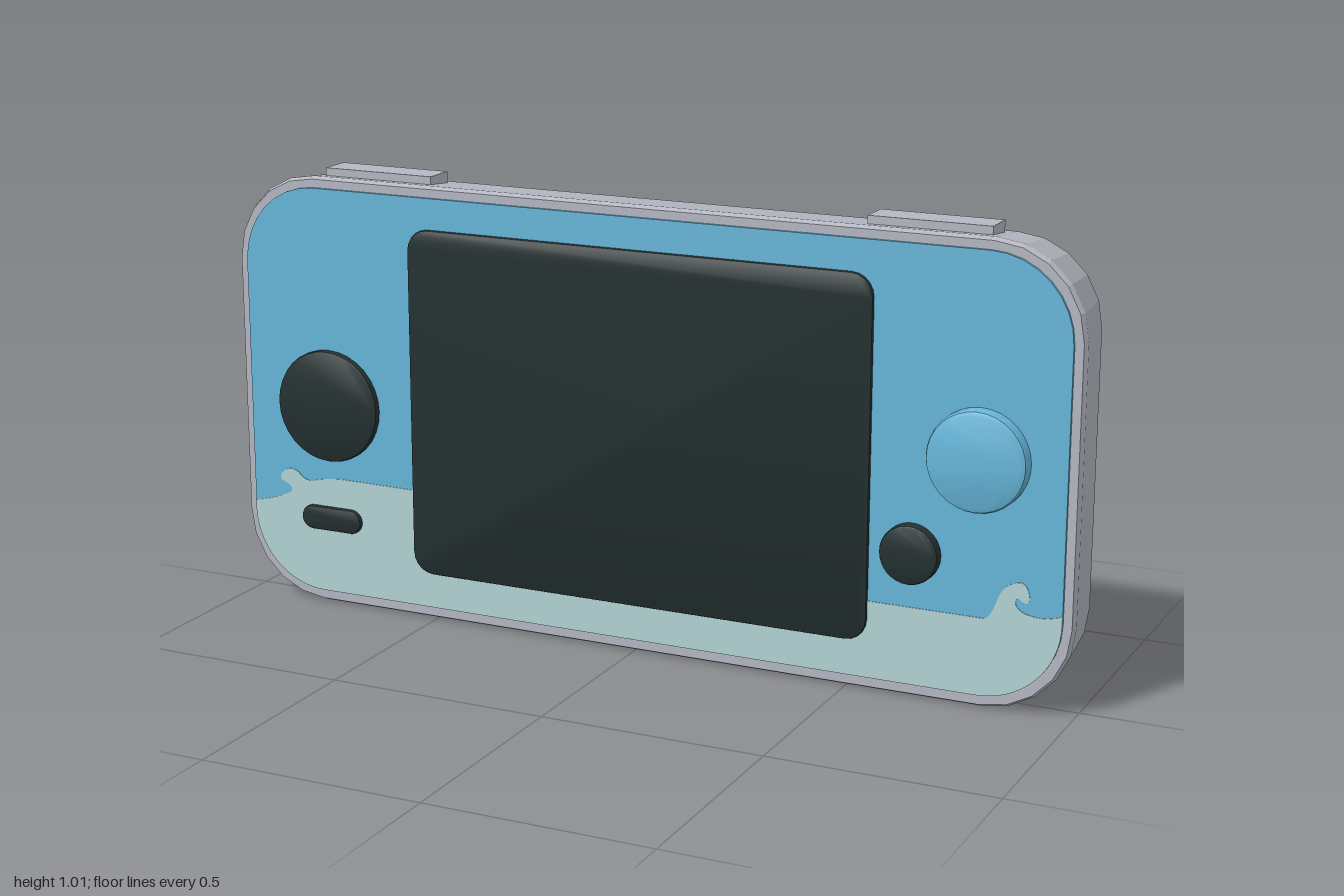
import * as THREE from 'three';
import { toCreasedNormals } from 'three/addons/utils/BufferGeometryUtils.js';

const material = (name, color) => Object.assign(new THREE.MeshStandardMaterial({ color }), { name });

// Rounded rectangle outline, anticlockwise from the right side
function outline(w, h, r, seg) {
  const pts = [];
  [[1, 1], [-1, 1], [-1, -1], [1, -1]].forEach(([sx, sy], q) => {
    for (let i = 0; i <= seg; i++) {
      const a = (q + i / seg) * Math.PI / 2;
      pts.push([sx * (w / 2 - r) + r * Math.cos(a), sy * (h / 2 - r) + r * Math.sin(a)]);
    }
  });
  return pts;
}

// Closed solid through rounded-rectangle rings; rings = [z, inset], back to front
function loft(w, h, r, seg, rings, crease) {
  const pos = [], index = [], n = 4 * (seg + 1);
  for (const [z, d] of rings) {
    for (const [x, y] of outline(w - 2 * d, h - 2 * d, r - d, seg)) pos.push(x, y, z);
  }
  for (let k = 0; k < rings.length - 1; k++) {
    for (let i = 0; i < n; i++) {
      const a = k * n + i, b = k * n + (i + 1) % n;
      index.push(a, b, b + n, a, b + n, a + n);
    }
  }
  const last = (rings.length - 1) * n;
  for (let i = 1; i < n - 1; i++) {
    index.push(0, i + 1, i);
    index.push(last, last + i, last + i + 1);
  }
  const g = new THREE.BufferGeometry();
  g.setAttribute('position', new THREE.Float32BufferAttribute(pos, 3));
  g.setIndex(index);
  return toCreasedNormals(g, crease);
}

export function createModel() {
  const group = new THREE.Group();
  const grey = material('shell grey', 0xb4b7c1);
  const blue = material('sky blue', 0x66b6da);
  const pale = material('pale wave', 0xb3d3d4);
  const dark = material('dark glass', 0x243031);

  const add = (name, geometry, mat, x = 0, y = 0, z = 0) => {
    const m = new THREE.Mesh(geometry, mat);
    m.name = name;
    m.position.set(x, y, z);
    group.add(m);
    return m;
  };
  // Raised part with a small bevelled front edge
  const raised = (name, mat, x, y, w, h, r, front, bevel, seg = 8) =>
    add(name, loft(w, h, r, seg, [[0.05, 0], [front - bevel, 0], [front - bevel * 0.3, bevel * 0.3], [front, bevel]], 0.5), mat, x, y);

  // Shell, tapering to the back, with a chamfered front rim
  add('shell', loft(2, 1, 0.2, 5,
    [[-0.095, 0.015], [0.046, 0], [0.058, 0.006]], 0.2), grey, 0, 0.5);

  // Shoulder buttons
  for (const s of [-1, 1]) {
    add(s > 0 ? 'leftShoulderButton' : 'rightShoulderButton',
      new THREE.BoxGeometry(0.27, 0.04, 0.076), grey, s * 0.65, 0.995, -0.017);
  }

  // Face plate
  add('facePlate', loft(1.95, 0.946, 0.18, 8, [[0.05, 0], [0.065, 0]], 0.5), blue, 0, 0.502);

  // Wave painted over the lower face plate
  const wave = new THREE.Shape();
  wave.moveTo(-0.975, 0.225);
  wave.lineTo(-0.975, 0.209);
  wave.absarc(-0.795, 0.209, 0.18, Math.PI, Math.PI * 1.5, false);
  wave.absarc(0.795, 0.209, 0.18, Math.PI * 1.5, Math.PI * 2, false);
  wave.lineTo(0.975, 0.228);
  wave.quadraticCurveTo(0.93, 0.21, 0.89, 0.225);
  wave.quadraticCurveTo(0.865, 0.24, 0.88, 0.255);
  wave.quadraticCurveTo(0.9, 0.235, 0.905, 0.255);
  wave.quadraticCurveTo(0.9, 0.3, 0.87, 0.285);
  wave.quadraticCurveTo(0.845, 0.275, 0.835, 0.245);
  wave.quadraticCurveTo(0.825, 0.21, 0.81, 0.2);
  wave.lineTo(0.3, 0.2);
  wave.lineTo(-0.3, 0.3);
  wave.lineTo(-0.74, 0.303);
  wave.quadraticCurveTo(-0.79, 0.3, -0.82, 0.29);
  wave.quadraticCurveTo(-0.84, 0.29, -0.85, 0.302);
  wave.quadraticCurveTo(-0.875, 0.325, -0.9, 0.3);
  wave.quadraticCurveTo(-0.91, 0.285, -0.895, 0.28);
  wave.quadraticCurveTo(-0.865, 0.27, -0.88, 0.255);
  wave.quadraticCurveTo(-0.92, 0.235, -0.975, 0.225);
  add('wavePanel', new THREE.ExtrudeGeometry(wave, { depth: 0.003, bevelEnabled: false, curveSegments: 8 }),
    pale, 0, 0, 0.0635);

  // Screen and controls
  raised('screen', dark, 0, 0.507, 1.1, 0.796, 0.05, 0.073, 0.005, 5);
  raised('directionDisc', dark, -0.765, 0.475, 0.26, 0.26, 0.13, 0.08, 0.006);
  raised('pillButton', dark, -0.765, 0.206, 0.156, 0.056, 0.028, 0.077, 0.004);
  raised('smallButton', dark, 0.645, 0.32, 0.13, 0.13, 0.065, 0.089, 0.006);
  raised('largeButton', blue, 0.787, 0.539, 0.22, 0.22, 0.11, 0.095, 0.012);

  return group;
}
